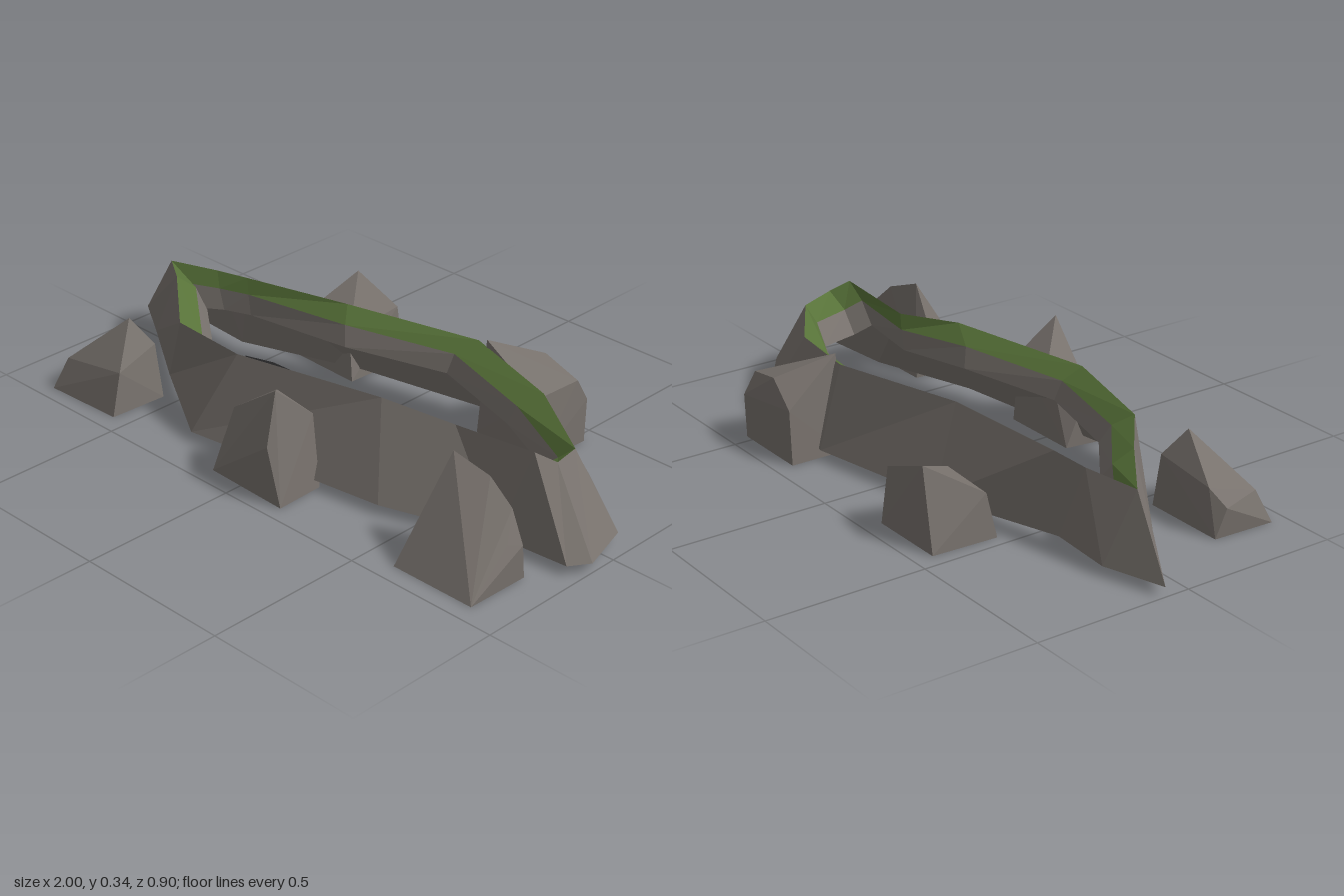
import * as THREE from 'three';
import { ConvexGeometry } from 'three/addons/geometries/ConvexGeometry.js';

// Stations round the ridge: base x,z | rim x,y,z | grass edge x,z | inner lip x,z
const STATIONS = [
  [-1, -.08, -.85, .25, -.06, -.75, -.055, -.7, -.04],
  [-.81, -.14, -.68, .26, -.1, -.65, -.08, -.62, -.07],
  [-.6, -.125, -.56, .27, -.115, -.54, -.1, -.52, -.09],
  [-.2, -.26, -.18, .295, -.17, -.15, -.13, -.13, -.11],
  [.26, -.35, .25, .29, -.28, .2, -.23, .19, -.21],
  [.7, -.26, .56, .26, -.21, .5, -.165, .48, -.15],
  [.95, -.08, .81, .25, -.05, .76, -.04, .7, -.05],
  [1, .09, .84, .265, .06, .77, .07, .7, .06],
  [.96, .15, .8, .3, .11, .73, .11, .66, .1],
  [.73, .17, .52, .275, .115, .5, .105, .48, .1],
  [.385, .28, .3, .3, .18, .22, .15, .2, .13],
  [-.29, .37, -.18, .295, .28, -.15, .23, -.14, .21],
  [-.6, .18, -.49, .265, .225, -.43, .19, -.4, .17],
  [-.85, .015, -.7, .285, .05, -.67, 0, -.62, 0],
];

const FLOOR = [[-.485, -.03], [-.39, -.06], [-.235, -.065], [-.05, -.08], [.14, -.14], [.33, -.11], [.47, -.02],
  [.5, .04], [.47, .075], [.375, .07], [.14, .085], [-.09, .15], [-.26, .12]];

// Corner points of each boulder
const ROCKS = {
  frontLeftRock: [[.6, 0, .44], [.88, 0, .44], [.885, 0, .235], [.61, 0, .235], [.645, .305, .26], [.76, .265, .24],
    [.84, .2, .24], [.89, .11, .25], [.87, .12, .29], [.6, .19, .27]],
  frontMiddleRock: [[-.12, 0, .44], [.17, 0, .45], [.165, 0, .29], [-.1, 0, .29], [.11, .335, .405], [-.11, .18, .36],
    [0, .255, .295], [.14, .23, .29], [.125, .18, .455]],
  frontRightRock: [[-.83, 0, .45], [-.56, 0, .44], [-.55, 0, .25], [-.82, 0, .25], [-.635, .255, .3], [-.8, .1, .41],
    [-.83, .09, .28], [-.78, .14, .255], [-.58, .17, .25], [-.57, .13, .4]],
  backLeftRock: [[.27, 0, -.26], [.52, 0, -.25], [.53, 0, -.44], [.27, 0, -.44], [.29, .31, -.27], [.5, .2, -.255],
    [.52, .21, -.41], [.38, .24, -.43], [.53, .14, -.445], [.28, .17, -.44]],
  backRightRock: [[-.46, 0, -.23], [-.21, 0, -.22], [-.2, 0, -.44], [-.45, 0, -.44], [-.39, .245, -.43],
    [-.22, .18, -.43], [-.245, .14, -.245], [-.45, .14, -.26]],
};

// Closed faceted band between two rings of points
function band(lower, upper) {
  const pos = [];
  lower.forEach((a, i) => {
    const j = (i + 1) % lower.length;
    const b = lower[j], c = upper[i], d = upper[j];
    pos.push(...a, ...c, ...b, ...b, ...c, ...d);
  });
  const g = new THREE.BufferGeometry();
  g.setAttribute('position', new THREE.Float32BufferAttribute(pos, 3));
  g.computeVertexNormals();
  return g;
}

// Boulder hull whose flat underside takes the second material
function rock(points) {
  const g = new ConvexGeometry(points.map(p => new THREE.Vector3(...p)));
  const p = g.attributes.position;
  for (let i = 0; i < p.count; i += 3) {
    const under = p.getY(i) + p.getY(i + 1) + p.getY(i + 2) < 1e-6;
    g.addGroup(i, 3, under ? 1 : 0);
  }
  return g;
}

export function createModel() {
  const group = new THREE.Group();
  const material = (name, color, side = THREE.FrontSide) =>
    Object.assign(new THREE.MeshStandardMaterial({ color, side, flatShading: true }), { name });
  const stone = material('stone grey', 0x78726d, THREE.DoubleSide);
  const grass = material('grass green', 0x587339, THREE.DoubleSide);
  const dark = material('floor black', 0x232324, THREE.DoubleSide);
  const add = (name, geometry, mat) => {
    const mesh = new THREE.Mesh(geometry, mat);
    mesh.name = name;
    group.add(mesh);
  };

  // Ridge: outer slope, grassy top and inner lip
  const base = STATIONS.map(s => [s[0], .03, s[1]]);
  const rim = STATIONS.map(s => [s[2], s[3], s[4]]);
  const edge = STATIONS.map(s => [s[5], s[3] - .045, s[6]]);
  const lip = STATIONS.map(s => [s[7], s[3] - .105, s[8]]);
  add('outerSlope', band(base, rim), stone);
  add('grassRim', band(rim, edge), grass);
  add('innerWall', band(edge, lip), stone);

  // Dark floor in the hollow
  const floor = new THREE.ShapeGeometry(new THREE.Shape(FLOOR.map(([x, z]) => new THREE.Vector2(x, -z))));
  floor.rotateX(-Math.PI / 2).translate(0, .06, 0);
  add('hollowFloor', floor, dark);

  // Boulders around the ridge
  for (const [name, points] of Object.entries(ROCKS)) add(name, rock(points), [stone, grass]);
  return group;
}
